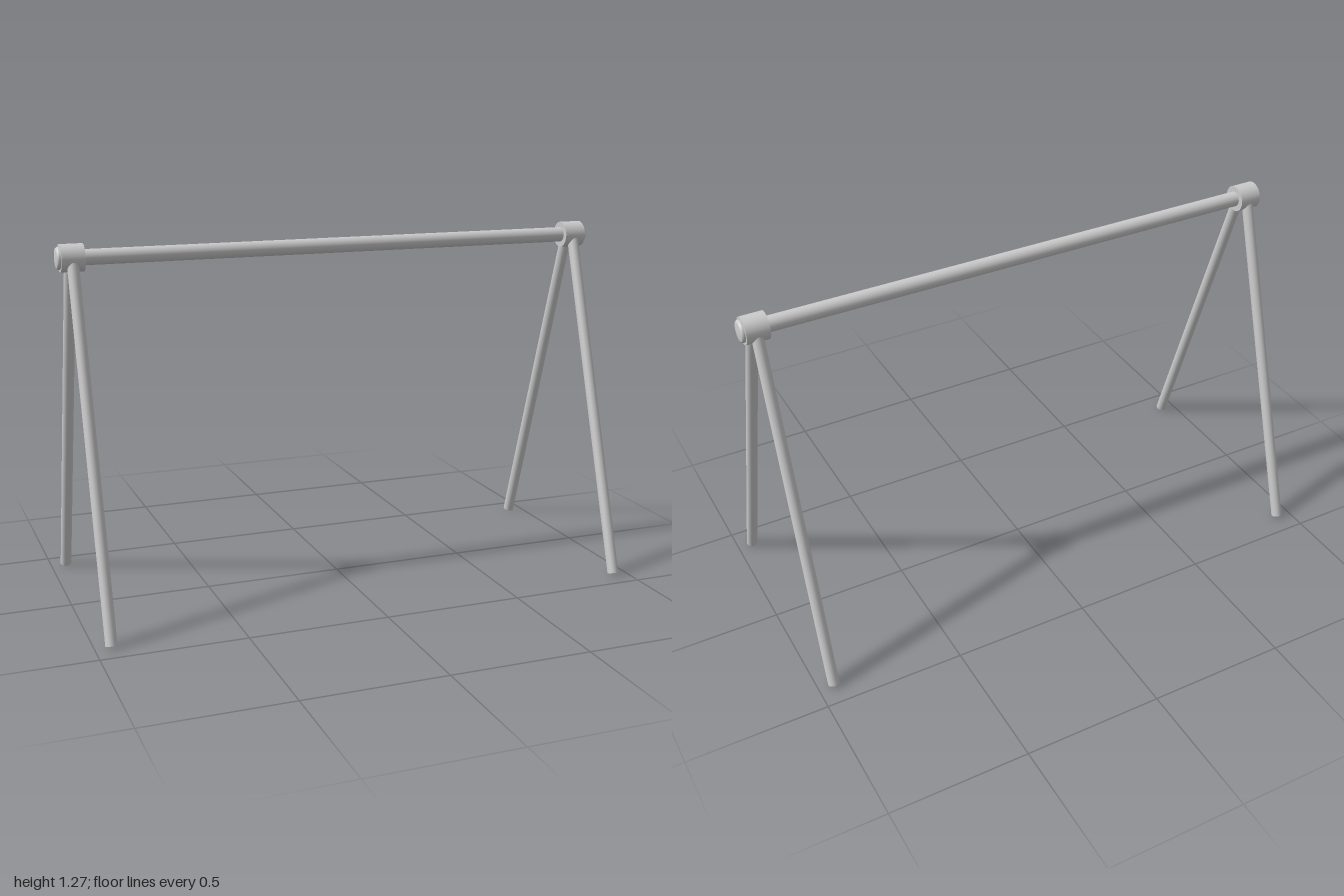
import * as THREE from 'three';

const BAR_Y = 1.225;
const END_X = 0.945;
const LEG_R = 0.02;

export function createModel() {
  const group = new THREE.Group();
  const grey = new THREE.MeshStandardMaterial({ color: 0xcccccc });

  const add = (name, geometry) => {
    const mesh = new THREE.Mesh(geometry, grey);
    mesh.name = name;
    group.add(mesh);
    return mesh;
  };

  // Round rod between two points
  const rod = (name, a, b, radius) => {
    const dir = b.clone().sub(a);
    const mesh = add(name, new THREE.CylinderGeometry(radius, radius, dir.length(), 32));
    mesh.position.copy(a).add(b).multiplyScalar(0.5);
    mesh.quaternion.setFromUnitVectors(new THREE.Vector3(0, 1, 0), dir.normalize());
    return mesh;
  };

  // Horizontal top bar
  rod('topBar', new THREE.Vector3(-0.98, BAR_Y, 0), new THREE.Vector3(0.98, BAR_Y, 0), 0.027);

  // End plug profile: straight rim, rounded edge, gently domed face
  const plugProfile = [
    [0.038, 0], [0.038, 0.044], [0.037, 0.048], [0.034, 0.051],
    [0.032, 0.052], [0.02, 0.054], [0, 0.055],
  ].map(([r, h]) => new THREE.Vector2(r, h));

  for (const side of [1, -1]) {
    const label = side > 0 ? 'left' : 'right';
    const x = side * END_X;

    // Collar joining the bar and the two legs
    const collar = add(label + 'Collar', new THREE.CylinderGeometry(0.047, 0.047, 0.08, 40));
    collar.rotation.z = Math.PI / 2;
    collar.position.set(x, BAR_Y, 0);

    // Plug closing the outer end of the collar
    const plug = add(label + 'EndPlug', new THREE.LatheGeometry(plugProfile, 40));
    plug.rotation.z = -side * Math.PI / 2;
    plug.position.set(x, BAR_Y, 0);

    // Splayed legs, front and back
    for (const dir of [1, -1]) {
      rod(label + (dir > 0 ? 'FrontLeg' : 'BackLeg'),
        new THREE.Vector3(x, 0.006, dir * 0.417),
        new THREE.Vector3(x, BAR_Y, dir * 0.021), LEG_R);
    }
  }

  return group;
}
